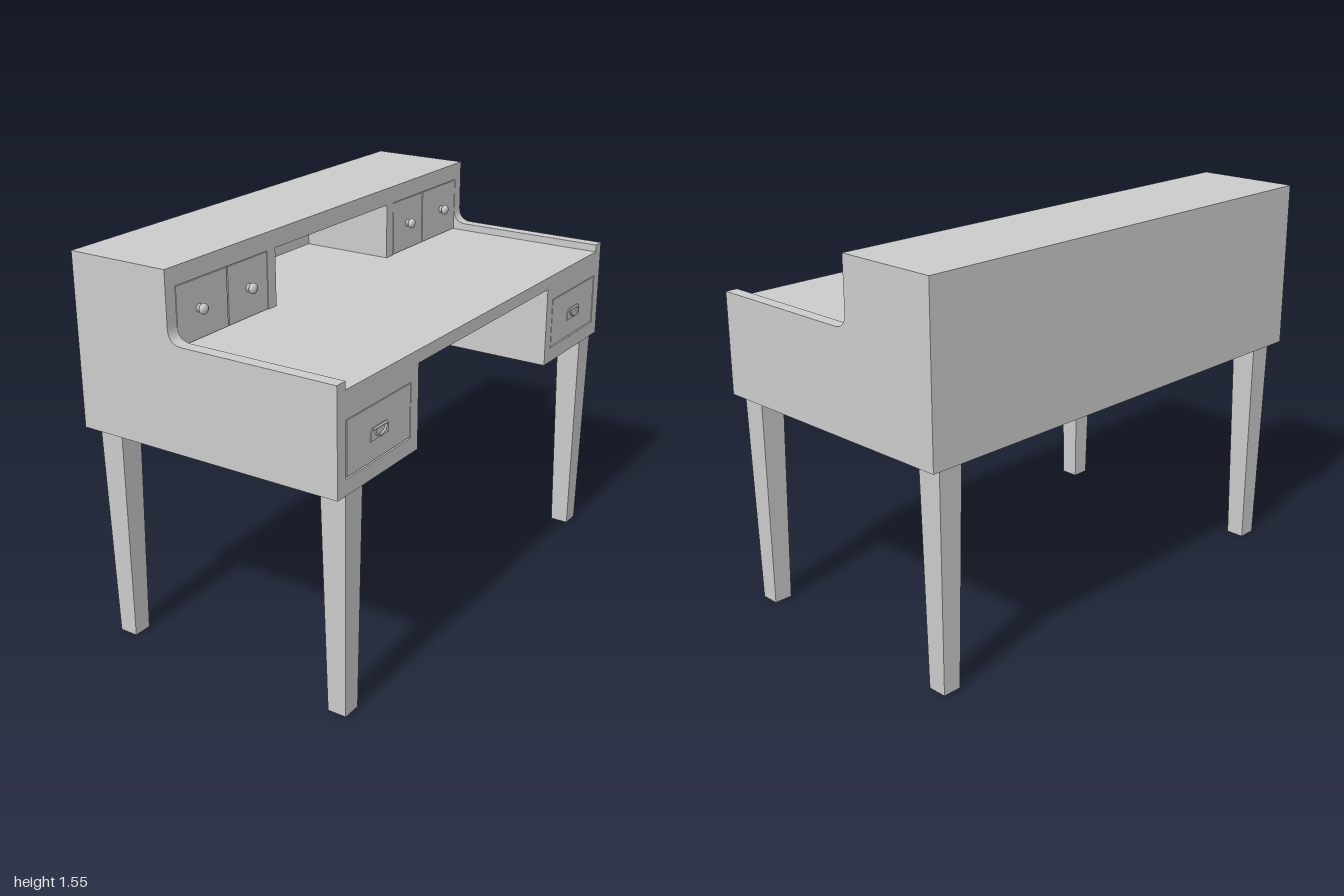
import * as THREE from 'three';

export function createModel() {
  const desk = new THREE.Group();
  desk.name = 'writingDesk';
  const mat = new THREE.MeshStandardMaterial({ color: 0xcccccc });

  const add = (name, geo, parent = desk) => {
    const m = new THREE.Mesh(geo, mat);
    m.name = name;
    parent.add(m);
    return m;
  };
  // Box given by its limits on each axis
  const box = (name, x0, x1, y0, y1, z0, z1, parent = desk) => {
    const g = new THREE.BoxGeometry(x1 - x0, y1 - y0, z1 - z0);
    g.translate((x0 + x1) / 2, (y0 + y1) / 2, (z0 + z1) / 2);
    return add(name, g, parent);
  };
  // Box mirrored to both ends of the desk
  const pair = (name, x0, x1, y0, y1, z0, z1) => {
    box(name, x0, x1, y0, y1, z0, z1);
    box(name, x0, x1, y0, y1, -z1, -z0);
  };

  const FRONT = 0.555, BACK = -0.54, HUTCH = -0.14;
  const BASE = 0.88, TOP = 1.525, DESK = 1.255, UNDER = 1.205;
  const gap = 0.003;

  // Stepped side panels with a rounded inner corner
  const side = new THREE.Shape();
  side.moveTo(BACK, BASE);
  side.lineTo(FRONT, BASE);
  side.lineTo(FRONT, 1.285);
  side.lineTo(HUTCH + 0.06, 1.285);
  side.quadraticCurveTo(HUTCH, 1.285, HUTCH, 1.345);
  side.lineTo(HUTCH, TOP);
  side.lineTo(BACK, TOP);
  side.closePath();
  for (const z of [-1, 0.95]) {
    const g = new THREE.ExtrudeGeometry(side, { depth: 0.05, bevelEnabled: false, curveSegments: 10 });
    g.translate(0, 0, z);
    add('sidePanel', g);
  }

  // Main boards
  box('backPanel', -0.565, BACK, BASE, TOP, -1, 1);
  box('topBoard', -0.565, HUTCH, TOP, 1.55, -1, 1);
  box('desktop', BACK, FRONT, UNDER, DESK, -0.95, 0.95);
  box('desktopLining', HUTCH, 0.53, 1.19, UNDER, -0.5, 0.5);
  box('kneeholePanel', HUTCH - 0.025, HUTCH, BASE, UNDER, -0.95, 0.95);

  // Lower drawer cabinets: carcass, front frame and drawer front
  const face = FRONT - 0.015;
  pair('drawerCabinet', HUTCH, face, BASE, UNDER, 0.5, 0.95);
  pair('cabinetStile', face, FRONT, BASE, UNDER, 0.5, 0.55);
  pair('cabinetBottomRail', face, FRONT, BASE, 0.94, 0.55, 0.95);
  pair('cabinetTopRail', face, FRONT, 1.15, UNDER, 0.55, 0.95);
  pair('drawerFront', face, FRONT, 0.94 + 2 * gap, 1.15 - gap, 0.55 + gap, 0.95 - 2 * gap);

  // Upper hutch: top rail, carcasses and small drawers beside the open bay
  const inner = HUTCH - 0.015;
  box('hutchTopRail', BACK, HUTCH, 1.48, TOP, -0.95, 0.95);
  pair('hutchCabinet', BACK, inner, DESK, 1.48, 0.385, 0.95);
  pair('hutchStile', inner, HUTCH, DESK, 1.48, 0.385, 0.435);
  for (const [z0, z1] of [[0.435, 0.67], [0.67, 0.95]])
    pair('hutchDrawerFront', inner, HUTCH, DESK + gap, 1.48 - gap, z0 + gap, z1 - gap);

  // Tapered square legs, back ones reaching up inside the frame
  const leg = (x, z, h) => {
    const g = new THREE.BoxGeometry(1, h, 1);
    g.translate(0, h / 2, 0);
    const p = g.attributes.position;
    for (let i = 0; i < p.count; i++) {
      const w = p.getY(i) < 0.01 ? 0.076 : 0.076 + 0.026 * (h / BASE);
      p.setX(i, p.getX(i) * w);
      p.setZ(i, p.getZ(i) * w);
    }
    g.computeVertexNormals();
    add(x > 0 ? 'frontLeg' : 'backLeg', g).position.set(x, 0, z);
  };
  for (const z of [-0.898, 0.898]) {
    leg(0.5, z, BASE);
    leg(-0.487, z, 1.0);
  }

  // Round knobs on the small drawers
  const knobProfile = [[0.016, 0], [0.009, 0.006], [0.009, 0.01], [0.018, 0.014],
    [0.021, 0.02], [0.019, 0.028], [0.011, 0.033], [0, 0.035]]
    .map(([r, y]) => new THREE.Vector2(r, y));
  for (const z of [-0.83, -0.55, 0.55, 0.83]) {
    const k = add('knob', new THREE.LatheGeometry(knobProfile, 20));
    k.rotation.z = -Math.PI / 2;
    k.position.set(HUTCH, 1.37, z);
  }

  // Bail pulls: shaped backplate with a hanging half ring
  for (const z of [-0.75, 0.75]) {
    const pull = new THREE.Group();
    pull.name = 'drawerPull';
    pull.position.set(FRONT, 1.045, z);
    pull.rotation.y = Math.PI / 2;
    desk.add(pull);

    const plate = new THREE.Shape([[-0.057, -0.025], [0.057, -0.025], [0.055, 0.008], [0.045, 0.022],
      [-0.045, 0.022], [-0.055, 0.008]].map(([x, y]) => new THREE.Vector2(x, y)));
    add('pullPlate', new THREE.ExtrudeGeometry(plate, { depth: 0.003, bevelEnabled: false }), pull);

    const ring = add('pullRing', new THREE.TorusGeometry(0.036, 0.004, 8, 20, Math.PI), pull);
    ring.rotation.z = Math.PI;
    ring.scale.y = 0.85;
    ring.position.set(0, 0.016, 0.006);
    const bar = add('pullBar', new THREE.CylinderGeometry(0.004, 0.004, 0.084, 8), pull);
    bar.rotation.z = Math.PI / 2;
    bar.position.set(0, 0.017, 0.005);
  }

  return desk;
}
